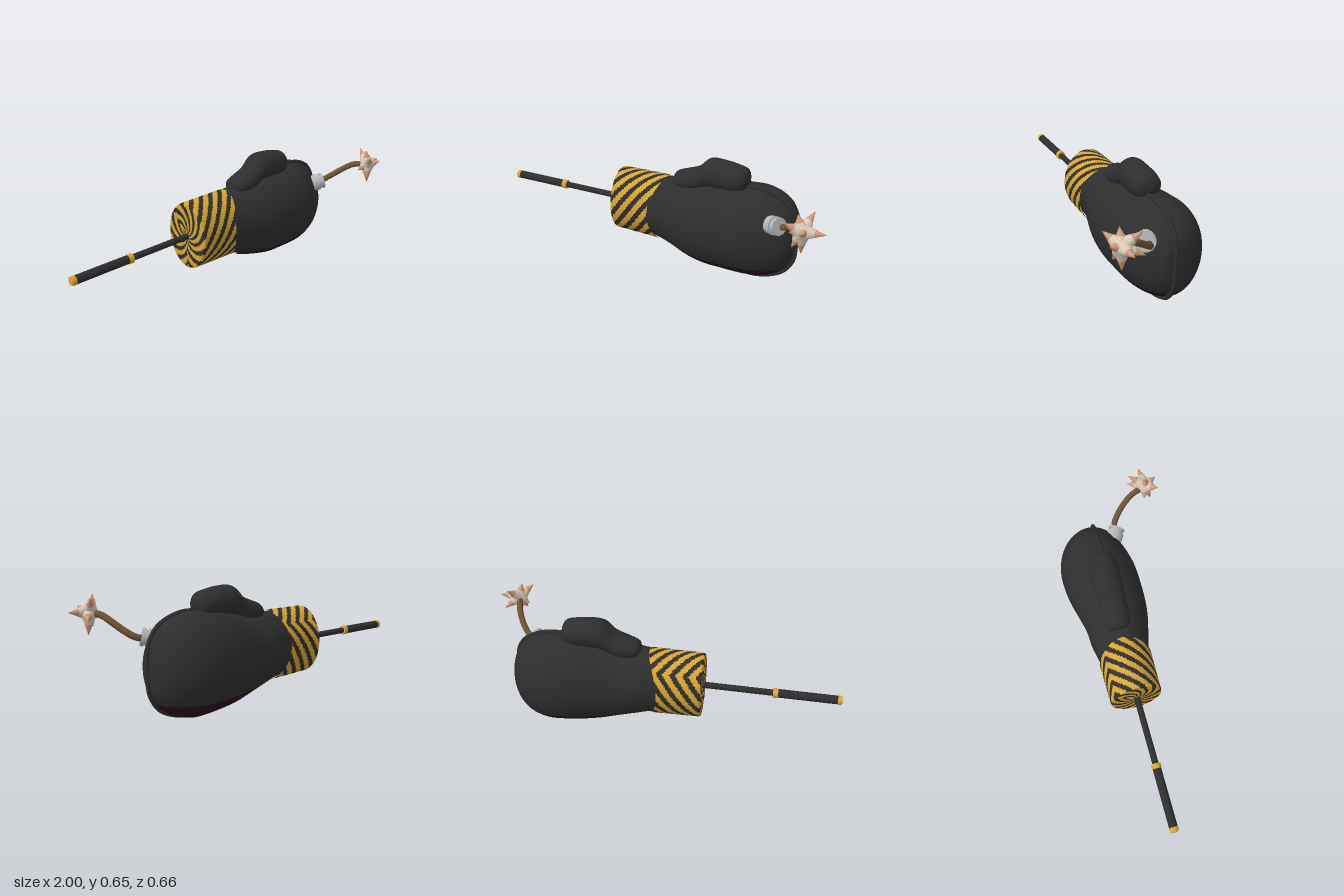
import * as THREE from 'three';

const mat = (name, color) => {
  const m = new THREE.MeshStandardMaterial({ color });
  m.name = name;
  return m;
};

// Closed tube of nu x nv cells; point(i, j) places a vertex, pick(i, j) chooses a material index
function gridGeometry(nu, nv, point, pick = () => 0) {
  const pos = [], faces = [[], []];
  for (let i = 0; i <= nu; i++) for (let j = 0; j < nv; j++) pos.push(...point(i, j));
  for (let i = 0; i < nu; i++) for (let j = 0; j < nv; j++) {
    const k = (j + 1) % nv;
    const a = i * nv + j, b = a + nv, c = (i + 1) * nv + k, d = i * nv + k;
    faces[pick(i, j)].push(a, b, c, a, c, d);
  }
  const g = new THREE.BufferGeometry();
  g.setAttribute('position', new THREE.Float32BufferAttribute(pos, 3));
  g.setIndex([...faces[0], ...faces[1]]);
  g.addGroup(0, faces[0].length, 0);
  if (faces[1].length) g.addGroup(faces[0].length, faces[1].length, 1);
  g.computeVertexNormals();
  return g;
}

// Smooth interpolation through elliptical sections [x, yCentre, zCentre, yRadius, zRadius]
function sectionSampler(sections) {
  const mid = new THREE.CatmullRomCurve3(sections.map(s => new THREE.Vector3(s[0], s[1], s[2])), false, 'catmullrom');
  const rad = new THREE.CatmullRomCurve3(sections.map(s => new THREE.Vector3(s[3], s[4], 0)), false, 'catmullrom');
  return t => {
    const c = mid.getPoint(t), r = rad.getPoint(t);
    return { x: c.x, y: c.y, z: c.z, ry: Math.max(r.x, 1e-4), rz: Math.max(r.y, 1e-4) };
  };
}
const onEllipse = (s, a) => [s.x, s.y + s.ry * Math.sin(a), s.z + s.rz * Math.cos(a)];

export function createModel() {
  const root = new THREE.Group();
  root.name = 'boxingGloveBomb';
  const black = mat('black leather', 0x2e2e2e);
  const maroon = mat('dark maroon', 0x2b121a);
  const yellow = mat('warning yellow', 0xd9a634);
  const metal = mat('grey metal', 0xb4b6ba);
  const brown = mat('fuse brown', 0x6e5436);
  const cream = mat('spark cream', 0xdccdb9);
  const pink = mat('spark pink', 0xd09c86);
  const orange = mat('spark orange', 0xc98e2c);

  const add = (name, geometry, material, parent = root) => {
    const m = new THREE.Mesh(geometry, material);
    m.name = name;
    parent.add(m);
    return m;
  };

  // Glove body, with the underside below a level line in maroon
  const bodySections = [
    [-0.1, 0.297, -0.1, 0.18, 0.137], [0, 0.295, -0.1, 0.184, 0.143],
    [0.1, 0.285, -0.097, 0.2, 0.165], [0.2, 0.27, -0.088, 0.22, 0.18],
    [0.3, 0.267, -0.093, 0.242, 0.197], [0.4, 0.27, -0.105, 0.254, 0.211],
    [0.5, 0.27, -0.113, 0.26, 0.216], [0.58, 0.27, -0.12, 0.26, 0.208],
    [0.66, 0.27, -0.122, 0.24, 0.185], [0.72, 0.27, -0.12, 0.205, 0.15],
    [0.76, 0.27, -0.115, 0.155, 0.11], [0.78, 0.27, -0.112, 0.1, 0.07],
    [0.788, 0.27, -0.11, 0, 0],
  ];
  const body = sectionSampler(bodySections);
  const upper = 44, around = 64, along = 60;
  add('gloveBody', gridGeometry(along, around, (i, j) => {
    const s = body(i / along);
    const a = Math.asin(THREE.MathUtils.clamp((0.103 - s.y) / s.ry, -1, 1));
    const angle = j < upper
      ? a + (Math.PI - 2 * a) * j / upper
      : Math.PI - a + (Math.PI + 2 * a) * (j - upper) / (around - upper);
    return onEllipse(s, angle);
  }, (i, j) => (j < upper ? 0 : 1)), [black, maroon]);

  // Piping along the centre line, over the knuckles and back underneath
  const seamSide = sign => bodySections.slice(sign > 0 ? 5 : 2, -1)
    .map(s => new THREE.Vector3(s[0] + (s[0] > 0.7 ? 0.003 : 0), s[1] + sign * s[3] * 0.995, -0.083));
  const seam = [...seamSide(1), new THREE.Vector3(0.786, 0.27, -0.083), ...seamSide(-1).reverse()];
  add('seamPiping', new THREE.TubeGeometry(new THREE.CatmullRomCurve3(seam), 90, 0.012, 8), black);

  // Thumb lying on top
  const thumb = sectionSampler([
    [0.075, 0.49, -0.1, 0, 0], [0.09, 0.49, -0.1, 0.04, 0.055],
    [0.15, 0.495, -0.1, 0.06, 0.075], [0.22, 0.515, -0.1, 0.07, 0.076],
    [0.28, 0.557, -0.1, 0.082, 0.078], [0.36, 0.56, -0.098, 0.082, 0.081],
    [0.44, 0.555, -0.098, 0.075, 0.08], [0.49, 0.555, -0.098, 0.058, 0.06],
    [0.512, 0.555, -0.098, 0, 0],
  ]);
  add('thumb', gridGeometry(40, 28, (i, j) => onEllipse(thumb(i / 40), j / 28 * Math.PI * 2)), black);

  // Striped cuff: closed end, rounded rim and a sleeve with a wavy front edge
  const cap = 16, side = 36, cuffAround = 176;
  const cuffPoint = (i, j) => {
    const a = j / cuffAround * Math.PI * 2;
    const t = Math.max(0, (i - cap - 2) / (side - 2));
    const r = i <= cap ? 0.95 * i / cap : i === cap + 1 ? 0.988 : 1;
    const end = -0.03 + 0.06 * Math.sin(a) ** 2;
    const x = i <= cap ? -0.264 : i === cap + 1 ? -0.26 : -0.25 + (end + 0.25) * t;
    return onEllipse({
      x, y: 0.297 - 0.003 * t, z: -0.1, ry: r * (0.188 + 0.005 * t), rz: r * (0.143 + 0.004 * t),
    }, a);
  };
  const cuffStripe = (i, j) => {
    const run = i < cap ? -0.26 - 0.16 * (1 - i / cap) : cuffPoint(i, j)[0];
    let deg = (j + 0.5) / cuffAround * 360;
    if (deg > 270) deg -= 360;
    const rise = (deg < 140 ? deg : 280 - deg) / 360 * 1.04;
    const f = (run - rise * 0.8) / 0.07;
    return f - Math.floor(f) < 0.54 ? 0 : 1;
  };
  add('stripedCuff', gridGeometry(cap + side, cuffAround, cuffPoint, cuffStripe), [yellow, black]);

  // Stick with grip and yellow fittings
  const stick = new THREE.Group();
  stick.name = 'stick';
  stick.position.set(0, 0.297, -0.097);
  root.add(stick);
  for (const [name, x0, x1, r, m] of [
    ['rod', -0.65, -0.25, 0.017, black], ['grip', -0.98, -0.655, 0.023, black],
    ['gripRing', -0.665, -0.638, 0.026, yellow], ['endCap', -0.995, -0.975, 0.024, yellow],
    ['endTip', -1.0, -0.995, 0.018, yellow],
  ]) {
    const c = add(name, new THREE.CylinderGeometry(r, r, x1 - x0, 20), m, stick);
    c.rotation.z = Math.PI / 2;
    c.position.x = (x0 + x1) / 2;
  }

  // Metal socket for the fuse
  const up = new THREE.Vector3(0, 1, 0);
  const socket = new THREE.Group();
  socket.name = 'fuseSocket';
  socket.position.set(0.685, 0.395, 0.024);
  socket.quaternion.setFromUnitVectors(up, new THREE.Vector3(0.8, 0.26, 0.52).normalize());
  root.add(socket);
  for (const [name, r, h, y] of [
    ['socketBase', 0.05, 0.04, 0], ['socketNeck', 0.04, 0.02, 0.027], ['socketRim', 0.047, 0.016, 0.042],
  ]) add(name, new THREE.CylinderGeometry(r, r, h, 14), metal, socket).position.y = y;

  // Curved fuse
  const fusePath = new THREE.CatmullRomCurve3([
    [0.7, 0.398, 0.03], [0.76, 0.41, 0.045], [0.8, 0.44, 0.08],
    [0.835, 0.48, 0.13], [0.857, 0.51, 0.18], [0.875, 0.522, 0.24],
  ].map(p => new THREE.Vector3(...p)));
  add('fuse', new THREE.TubeGeometry(fusePath, 24, 0.017, 10), brown);

  // Spiky spark: a core with concave spikes, coloured from base to tip
  const spark = new THREE.Group();
  spark.name = 'spark';
  const centre = new THREE.Vector3(0.885, 0.525, 0.26);
  spark.position.copy(centre);
  root.add(spark);
  add('sparkCore', new THREE.IcosahedronGeometry(0.043, 2), cream, spark);
  const bands = [
    ['spikeBase', cream, [[0.041, 0.1], [0.03, 0.34], [0.02, 0.55]]],
    ['spikeMiddle', pink, [[0.02, 0.55], [0.012, 0.72], [0.006, 0.87]]],
    ['spikeTip', orange, [[0.006, 0.87], [0, 1]]],
  ];
  for (const tip of [
    [1.0, 0.53, 0.255], [0.86, 0.612, 0.26], [0.92, 0.6, 0.175], [0.815, 0.58, 0.32], [0.892, 0.407, 0.26],
    [0.945, 0.49, 0.17], [0.91, 0.55, 0.33], [0.82, 0.495, 0.24], [0.85, 0.445, 0.285],
  ]) {
    const dir = new THREE.Vector3(...tip).sub(centre);
    const len = dir.length();
    const spike = new THREE.Group();
    spike.name = 'spike';
    spike.quaternion.setFromUnitVectors(up, dir.normalize());
    spark.add(spike);
    for (const [name, m, profile] of bands) {
      add(name, new THREE.LatheGeometry(profile.map(([r, h]) => new THREE.Vector2(r, h * len)), 8), m, spike);
    }
  }
  return root;
}
